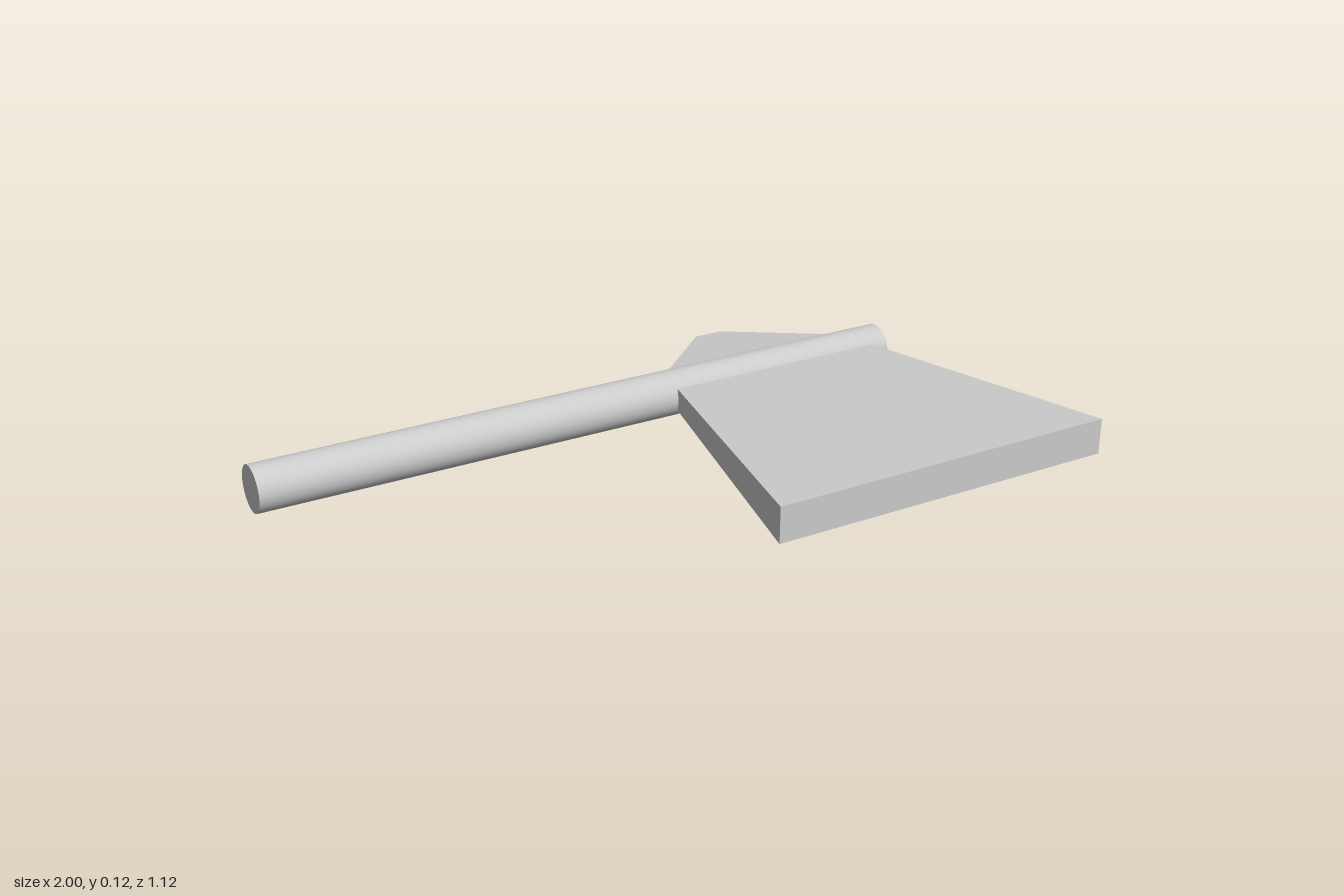
import * as THREE from 'three';

const AXIS_Y = 0.0625, AXIS_Z = -0.25, HEAD_X = 0.5;
const material = new THREE.MeshStandardMaterial({ color: 0xcccccc });

// Box tapering along z; each end is { z, w: half width, h: half thickness }
function taperedSlab(name, back, front) {
  const box = new THREE.BoxGeometry(2, 2, 2);
  const pos = box.attributes.position;
  for (let i = 0; i < pos.count; i++) {
    const end = pos.getZ(i) > 0 ? front : back;
    pos.setXYZ(i, HEAD_X + pos.getX(i) * end.w, AXIS_Y + pos.getY(i) * end.h, end.z);
  }
  const geometry = box.toNonIndexed();
  geometry.computeVertexNormals();
  const mesh = new THREE.Mesh(geometry, material);
  mesh.name = name;
  return mesh;
}

export function createModel() {
  const group = new THREE.Group();
  group.name = 'axe';

  // Round shaft lying along x
  const shaft = new THREE.CylinderGeometry(0.0625, 0.0625, 1.875, 48);
  shaft.rotateZ(Math.PI / 2);
  const handle = new THREE.Mesh(shaft, material);
  handle.name = 'handle';
  handle.position.set(-0.0625, AXIS_Y, AXIS_Z);
  group.add(handle);

  // Broad head flaring towards the front, and the pointed rear spike
  group.add(taperedSlab('blade', { z: AXIS_Z, w: 0.311, h: 0.03 }, { z: 0.56, w: 0.497, h: 0.049 }));
  group.add(taperedSlab('spike', { z: -0.56, w: 0.042, h: 0.004 }, { z: AXIS_Z, w: 0.354, h: 0.035 }));

  return group;
}
